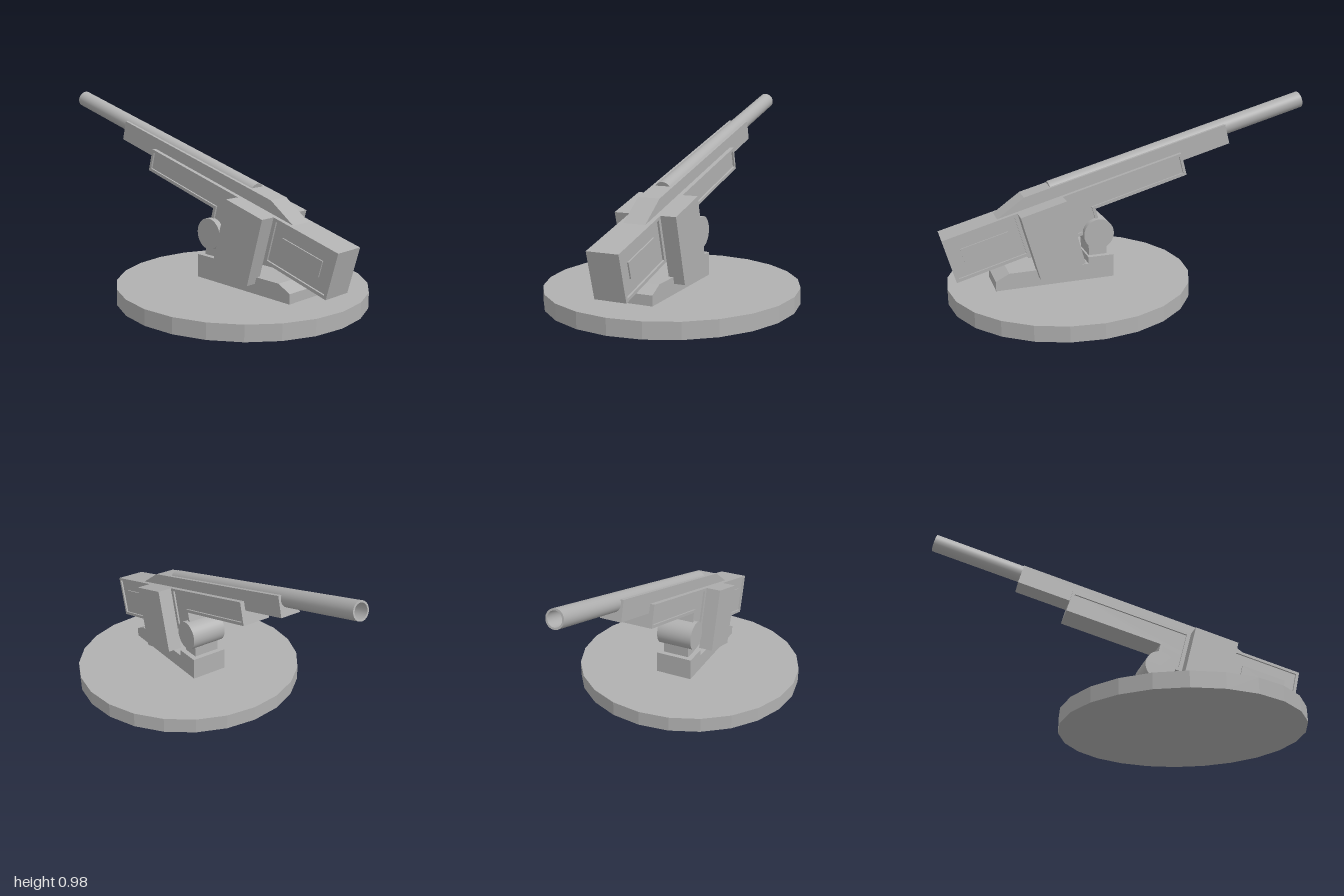
import * as THREE from 'three';

const steel = new THREE.MeshStandardMaterial({ color: 0xb0b0b0 });
steel.name = 'steelGrey';

function add(parent, name, geometry, x = 0, y = 0, z = 0) {
  const mesh = new THREE.Mesh(geometry, steel);
  mesh.name = name;
  mesh.position.set(x, y, z);
  parent.add(mesh);
  return mesh;
}

const toPoints = (list) => list.map(([x, y]) => new THREE.Vector2(x, y));

// Side profile (forward, up) extruded across the width, centred on the middle plane
function slab(profile, width, holes = []) {
  const shape = new THREE.Shape(toPoints(profile));
  holes.forEach((h) => shape.holes.push(new THREE.Path(toPoints(h))));
  return new THREE.ExtrudeGeometry(shape, { depth: width, bevelEnabled: false }).translate(0, 0, -width / 2);
}

const rect = (x0, x1, y0, y1) => [[x0, y0], [x1, y0], [x1, y1], [x0, y1]];

export function createModel() {
  const model = new THREE.Group();
  model.name = 'gunEmplacement';

  // Round platform, faceted
  const disc = new THREE.CylinderGeometry(0.635, 0.635, 0.08, 24).toNonIndexed();
  disc.computeVertexNormals();
  add(model, 'platform', disc, 0, 0.04, 0.343);

  // Fixed mount; local x points to the back of the model (-z)
  const mount = new THREE.Group();
  mount.name = 'mount';
  mount.rotation.y = Math.PI / 2;
  model.add(mount);
  add(mount, 'mountBase', slab([
    [-0.75, 0.08], [-0.13, 0.08], [-0.13, 0.2], [-0.265, 0.2],
    [-0.265, 0.165], [-0.68, 0.165], [-0.75, 0.13],
  ], 0.208));
  add(mount, 'mountNeck', slab(rect(-0.255, -0.158, 0.2, 0.31), 0.15));

  // Elevating gun, pivoting at the trunnion and tilted 15 degrees
  const gun = new THREE.Group();
  gun.name = 'gun';
  gun.position.set(0, 0.319, 0.206);
  gun.rotation.set(0, Math.PI / 2, THREE.MathUtils.degToRad(15));
  model.add(gun);

  add(gun, 'trunnion', new THREE.CylinderGeometry(0.08, 0.08, 0.204, 32).rotateX(Math.PI / 2));

  // Cradle body: core with framed, recessed sides
  const body = [[-0.753, 0.018], [0.024, 0.018], [0.024, 0.13], [0.547, 0.13], [0.547, 0.252], [-0.753, 0.252]];
  const breechRecess = rect(-0.737, -0.382, 0.034, 0.237);
  const cradleRecess = [[-0.1, 0.034], [0.008, 0.034], [0.008, 0.146], [0.532, 0.146], [0.532, 0.237], [-0.1, 0.237]];
  add(gun, 'bodyCore', slab(body, 0.14));
  for (const side of [-1, 1]) {
    add(gun, 'bodyFrame', slab(body, 0.01, [breechRecess, cradleRecess]), 0, 0, side * 0.075);
    add(gun, 'breechPanel', slab(rect(-0.682, -0.436, 0.097, 0.178), 0.008), 0, 0, side * 0.073);
    add(gun, 'sideBox', slab(rect(-0.363, -0.121, -0.098, 0.252), 0.08), 0, 0, side * 0.12);
  }

  // Upper sleeve with sloped rear
  add(gun, 'barrelSleeve', slab([
    [-0.465, 0.204], [0.832, 0.204], [0.832, 0.311], [-0.305, 0.311], [-0.465, 0.252],
  ], 0.112));

  // Barrel with hollow muzzle; corner points doubled for sharp edges
  const barrel = new THREE.Group();
  barrel.name = 'barrel';
  barrel.position.set(-0.162, 0.287, 0);
  barrel.rotation.z = -Math.PI / 2;
  gun.add(barrel);
  const length = 1.473, outer = 0.045, bore = 0.036, depth = 0.45;
  const section = [[0, 0], [outer, 0], [outer, length], [bore, length], [bore, length - depth], [0, length - depth]];
  const names = ['barrelRear', 'barrelTube', 'muzzleRim', 'bore', 'boreEnd'];
  names.forEach((name, i) => {
    add(barrel, name, new THREE.LatheGeometry(toPoints([section[i], section[i + 1]]), 32));
  });

  return model;
}
